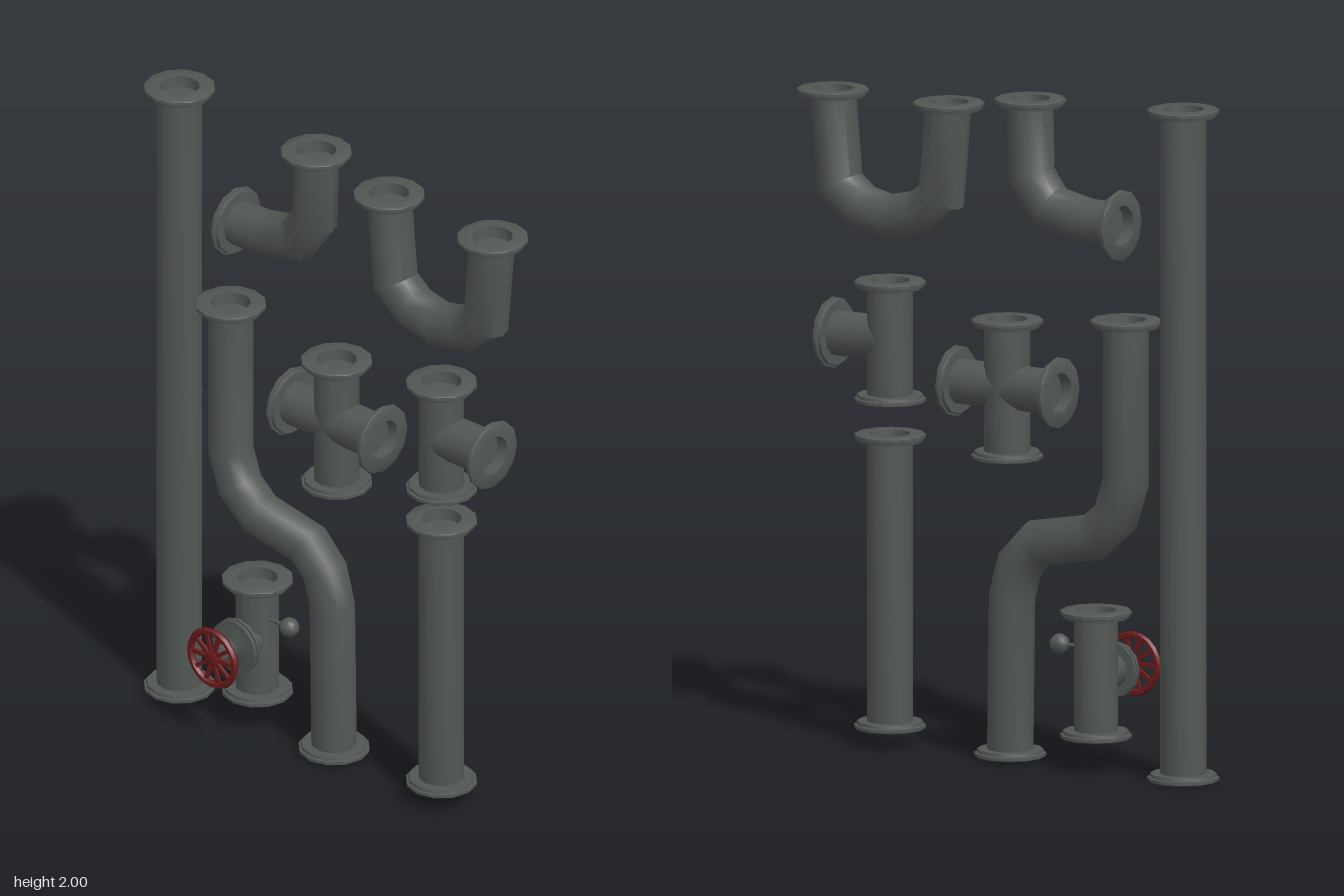
import * as THREE from 'three';
import { toCreasedNormals } from 'three/addons/utils/BufferGeometryUtils.js';

const SIDES = 12, Z = -0.052, R = 0.068;
const UP = new THREE.Vector3(0, 1, 0);

export function createModel() {
  const iron = new THREE.MeshStandardMaterial({ color: 0x525754 });
  iron.name = 'dark iron';
  const red = new THREE.MeshStandardMaterial({ color: 0x6a1a1c });
  red.name = 'valve red';

  const model = new THREE.Group();
  model.name = 'pipeSet';

  const add = (parent, geometry, material, name) => {
    const mesh = new THREE.Mesh(toCreasedNormals(geometry, 0.75), material);
    mesh.name = name;
    parent.add(mesh);
    return mesh;
  };

  const section = (name) => {
    const g = new THREE.Group();
    g.name = name;
    g.position.z = Z;
    model.add(g);
    return g;
  };

  // Mitred tube along a planar path of [x, y] points
  const pipeGeometry = (path, r) => {
    const pts = path.map(([x, y]) => new THREE.Vector2(x, y));
    const pos = [], index = [];
    pts.forEach((p, i) => {
      const before = p.clone().sub(pts[Math.max(i - 1, 0)]).normalize();
      const after = pts[Math.min(i + 1, pts.length - 1)].clone().sub(p).normalize();
      const t = before.clone().add(after).normalize();
      const stretch = 1 / Math.max(t.dot(i ? before : after), 0.5);
      for (let j = 0; j < SIDES; j++) {
        const a = (j / SIDES) * Math.PI * 2;
        const c = Math.cos(a) * r * stretch;
        pos.push(p.x - t.y * c, p.y + t.x * c, Math.sin(a) * r);
        if (i === pts.length - 1) continue;
        const k = (j + 1) % SIDES, m = i * SIDES;
        index.push(m + j, m + k, m + SIDES + j, m + k, m + SIDES + k, m + SIDES + j);
      }
    });
    const g = new THREE.BufferGeometry();
    g.setAttribute('position', new THREE.Float32BufferAttribute(pos, 3));
    g.setIndex(index);
    return g;
  };

  // Flange with a bevelled rim and a recessed bore; its face points along dir
  const flangeProfile = [
    [0.06, -0.023], [0.097, -0.023], [0.099, -0.014], [0.106, -0.012],
    [0.106, -0.003], [0.102, 0], [0.06, 0], [0.057, -0.035], [0, -0.035],
  ].map(([x, y]) => new THREE.Vector2(x, y));
  const addFlange = (parent, x, y, dx, dy) => {
    const f = add(parent, new THREE.LatheGeometry(flangeProfile, SIDES), iron, 'flange');
    f.position.set(x, y, 0);
    f.quaternion.setFromUnitVectors(UP, new THREE.Vector3(dx, dy, 0));
  };

  // Pipe run with a flange on both ends
  const addRun = (parent, path, r = R) => {
    add(parent, pipeGeometry(path, r), iron, 'pipe');
    const n = path.length;
    [[path[0], path[1]], [path[n - 1], path[n - 2]]].forEach(([end, next]) => {
      const horizontal = Math.abs(end[0] - next[0]) > Math.abs(end[1] - next[1]);
      const dx = horizontal ? Math.sign(end[0] - next[0]) : 0;
      const dy = horizontal ? 0 : Math.sign(end[1] - next[1]);
      addFlange(parent, end[0] + dx * 0.003, end[1] + dy * 0.003, dx, dy);
    });
  };

  // Straight pipes
  const long = section('longPipe');
  addRun(long, [[-0.615, 0.004], [-0.615, 1.997]]);
  const seam = add(long, new THREE.CylinderGeometry(0.0695, 0.0695, 0.008, SIDES, 1, true), iron, 'seam');
  seam.position.set(-0.615, 1.0, 0);
  seam.rotation.y = Math.PI / 2;
  addRun(section('shortPipe'), [[0.41, 0.055], [0.41, 0.927]]);

  // Bent pipes
  addRun(section('elbowPipe'), [
    [-0.08, 1.975], [-0.085, 1.75], [-0.15, 1.66], [-0.28, 1.632], [-0.4, 1.63],
  ]);
  addRun(section('uPipe'), [
    [0.205, 1.935], [0.23, 1.655], [0.305, 1.595], [0.408, 1.572],
    [0.51, 1.595], [0.585, 1.655], [0.61, 1.935],
  ]);
  addRun(section('offsetPipe'), [
    [-0.415, 1.35], [-0.415, 0.87], [-0.378, 0.76], [-0.3, 0.693],
    [-0.11, 0.657], [-0.045, 0.59], [-0.017, 0.49], [-0.01, 0.015],
  ]);

  // Cross and tee fittings
  const cross = section('crossFitting');
  addRun(cross, [[0, 0.9], [0, 1.31]]);
  addRun(cross, [[-0.183, 1.11], [0.183, 1.11]]);

  const tee = section('teeFitting');
  addRun(tee, [[0.41, 1.027], [0.41, 1.383]]);
  add(tee, pipeGeometry([[0.41, 1.21], [0.612, 1.21]], R), iron, 'branch');
  addFlange(tee, 0.615, 1.21, 1, 0);

  // Valve body
  const valve = section('valve');
  addRun(valve, [[-0.31, 0.1], [-0.31, 0.475]], 0.065);

  // Bonnet, stem and hub turned about the z axis; y is distance from the pipe axis
  const bonnet = new THREE.Group();
  bonnet.name = 'bonnet';
  bonnet.position.set(-0.31, 0.287, 0);
  bonnet.rotation.x = Math.PI / 2;
  valve.add(bonnet);
  const turned = (points, material, name) => add(bonnet,
    new THREE.LatheGeometry(points.map(([x, y]) => new THREE.Vector2(x, y)), SIDES), material, name);
  turned([
    [0.055, 0], [0.055, 0.08], [0.084, 0.08], [0.084, 0.09], [0.076, 0.09],
    [0.076, 0.096], [0.084, 0.096], [0.084, 0.106], [0.03, 0.108], [0.014, 0.118],
  ], iron, 'bonnetFlange');
  turned([
    [0.014, 0.115], [0.026, 0.122], [0.026, 0.136], [0.014, 0.142],
    [0.025, 0.15], [0.025, 0.164], [0.013, 0.172], [0.013, 0.2],
  ], iron, 'stem');
  turned([[0, 0.184], [0.022, 0.184], [0.024, 0.206], [0.014, 0.209], [0, 0.209]], red, 'wheelHub');

  // Hand wheel
  const wheel = new THREE.Group();
  wheel.name = 'handWheel';
  wheel.position.set(-0.31, 0.287, 0.197);
  valve.add(wheel);
  add(wheel, new THREE.TorusGeometry(0.086, 0.011, 6, 20), red, 'wheelRim');
  const spokes = 10;
  for (let i = 0; i < spokes; i++) {
    const a = (i / spokes) * Math.PI * 2;
    const spoke = add(wheel, new THREE.BoxGeometry(0.064, 0.012, 0.01), red, 'wheelSpoke');
    spoke.position.set(Math.cos(a) * 0.051, Math.sin(a) * 0.051, 0);
    spoke.rotation.z = a;
  }

  // Side knob on a thin rod
  const rod = add(valve, new THREE.CylinderGeometry(0.006, 0.006, 0.09, 6), iron, 'knobRod');
  rod.rotation.z = Math.PI / 2;
  rod.position.set(-0.225, 0.362, 0.01);
  const knob = add(valve, new THREE.SphereGeometry(0.03, 10, 8), iron, 'knob');
  knob.position.set(-0.176, 0.362, 0.01);

  return model;
}
